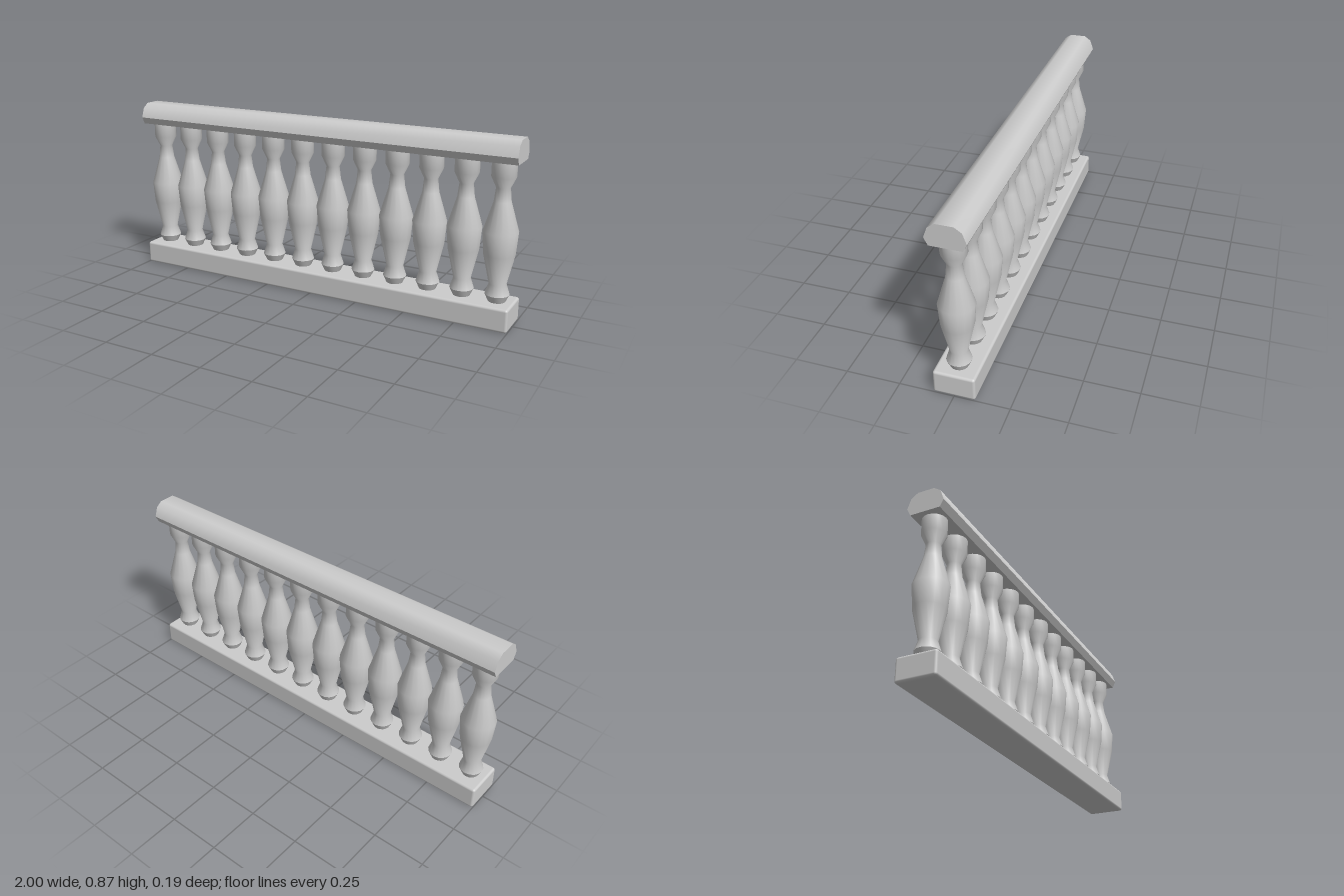
import * as THREE from 'three';
import { toCreasedNormals } from 'three/addons/utils/BufferGeometryUtils.js';
import { RoundedBoxGeometry } from 'three/addons/geometries/RoundedBoxGeometry.js';

const CREASE = THREE.MathUtils.degToRad(41);

export function createModel() {
  const model = new THREE.Group();
  model.name = 'balustrade';
  const stone = new THREE.MeshStandardMaterial({ color: 0xcccccc });
  stone.name = 'pale stone';

  const add = (name, geometry, x = 0, y = 0) => {
    const mesh = new THREE.Mesh(geometry, stone);
    mesh.name = name;
    mesh.position.set(x, y, 0);
    model.add(mesh);
  };

  // Plinth with softened edges
  add('plinth', new RoundedBoxGeometry(2, 0.112, 0.19, 2, 0.012), 0, 0.056);

  // Handrail: mirrored half profile swept along x
  const half = [[0.071, 0.762], [0.088, 0.796], [0.071, 0.844], [0.039, 0.866]];
  const outline = [...half, ...half.map(([z, y]) => [-z, y]).reverse()];
  const shape = new THREE.Shape(outline.map(([z, y]) => new THREE.Vector2(z, y)));
  const rail = new THREE.ExtrudeGeometry(shape, { depth: 2, bevelEnabled: false });
  rail.translate(0, 0, -1).rotateY(Math.PI / 2);
  add('handrail', toCreasedNormals(rail, CREASE));

  // Turned balusters: radius and height from foot to capital
  const profile = [
    [0.039, 0.11], [0.056, 0.146], [0.04, 0.195], [0.072, 0.336], [0.08, 0.442],
    [0.039, 0.579], [0.032, 0.641], [0.056, 0.691], [0.056, 0.764],
  ].map(([r, y]) => new THREE.Vector2(r, y));
  const baluster = toCreasedNormals(new THREE.LatheGeometry(profile, 16), CREASE);
  const count = 12, reach = 0.92;
  for (let i = 0; i < count; i++) {
    add('baluster', baluster, -reach + (2 * reach * i) / (count - 1));
  }
  return model;
}
